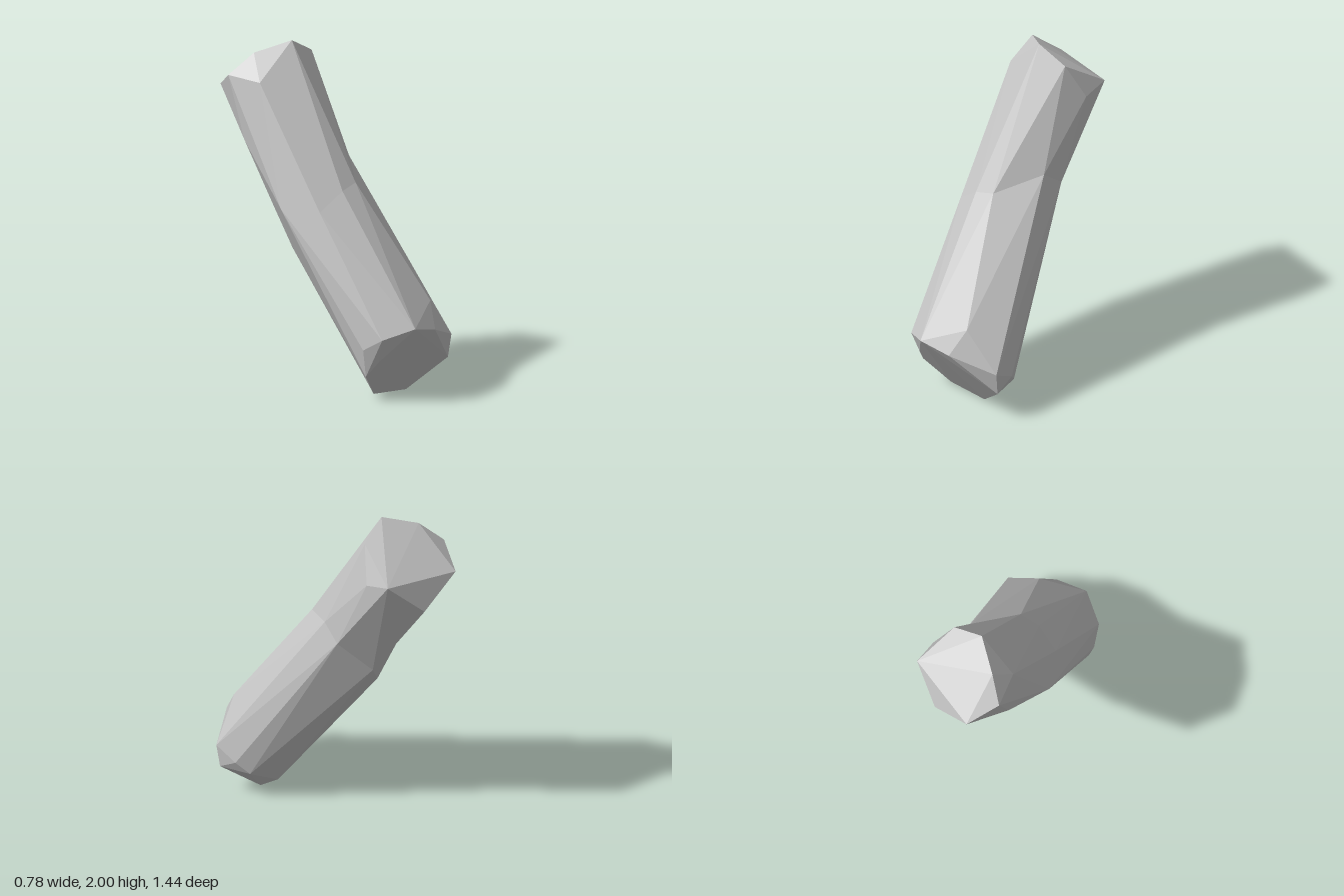
import * as THREE from 'three';
import { ConvexGeometry } from 'three/addons/geometries/ConvexGeometry.js';

const toPoints = (rows) => rows.map(([x, y, z]) => new THREE.Vector3(x, y, z));

// Ring at the bend, shared by both halves
const bend = [
  [-0.395, 1.08, -0.07], [-0.28, 1.08, 0.14], [-0.13, 1.19, 0.17], [-0.01, 1.22, 0.15],
  [0.16, 1.31, -0.10], [0.185, 1.22, -0.22], [0.02, 1.02, -0.35], [-0.27, 1.05, -0.28],
];

// Lower end: cut face, then the chipped corners behind it
const lowerEnd = [
  [-0.05, 0.45, 0.72], [0.14, 0.41, 0.68], [0.39, 0.32, 0.54], [0.38, 0.18, 0.52],
  [0.16, 0, 0.40], [-0.10, 0.015, 0.41], [-0.24, 0.155, 0.50], [-0.20, 0.25, 0.57],
  [-0.22, 0.39, 0.62], [-0.27, 0.32, 0.51], [0.19, 0.56, 0.58], [0.38, 0.25, 0.40],
  [0.33, 0.18, 0.33], [0.13, 0.07, 0.29], [-0.20, 0.80, -0.19],
];

// Upper end: sloping cut face, then the corners below it
const upperEnd = [
  [-0.09, 2, -0.32], [0.09, 1.91, -0.35], [0.17, 1.74, -0.60], [-0.04, 1.53, -0.70],
  [-0.29, 1.70, -0.72], [-0.39, 1.80, -0.54], [-0.27, 1.93, -0.45],
  [-0.33, 1.78, -0.33], [0.175, 1.70, -0.44], [-0.37, 1.43, -0.42],
];

export function createModel() {
  const group = new THREE.Group();
  group.name = 'bentLog';
  const grey = new THREE.MeshStandardMaterial({ color: 0xc4c4c4 });
  grey.name = 'grey';

  // Two faceted halves meeting at the bend
  for (const [name, end] of [['lowerHalf', lowerEnd], ['upperHalf', upperEnd]]) {
    const mesh = new THREE.Mesh(new ConvexGeometry(toPoints([...end, ...bend])), grey);
    mesh.name = name;
    group.add(mesh);
  }
  return group;
}
